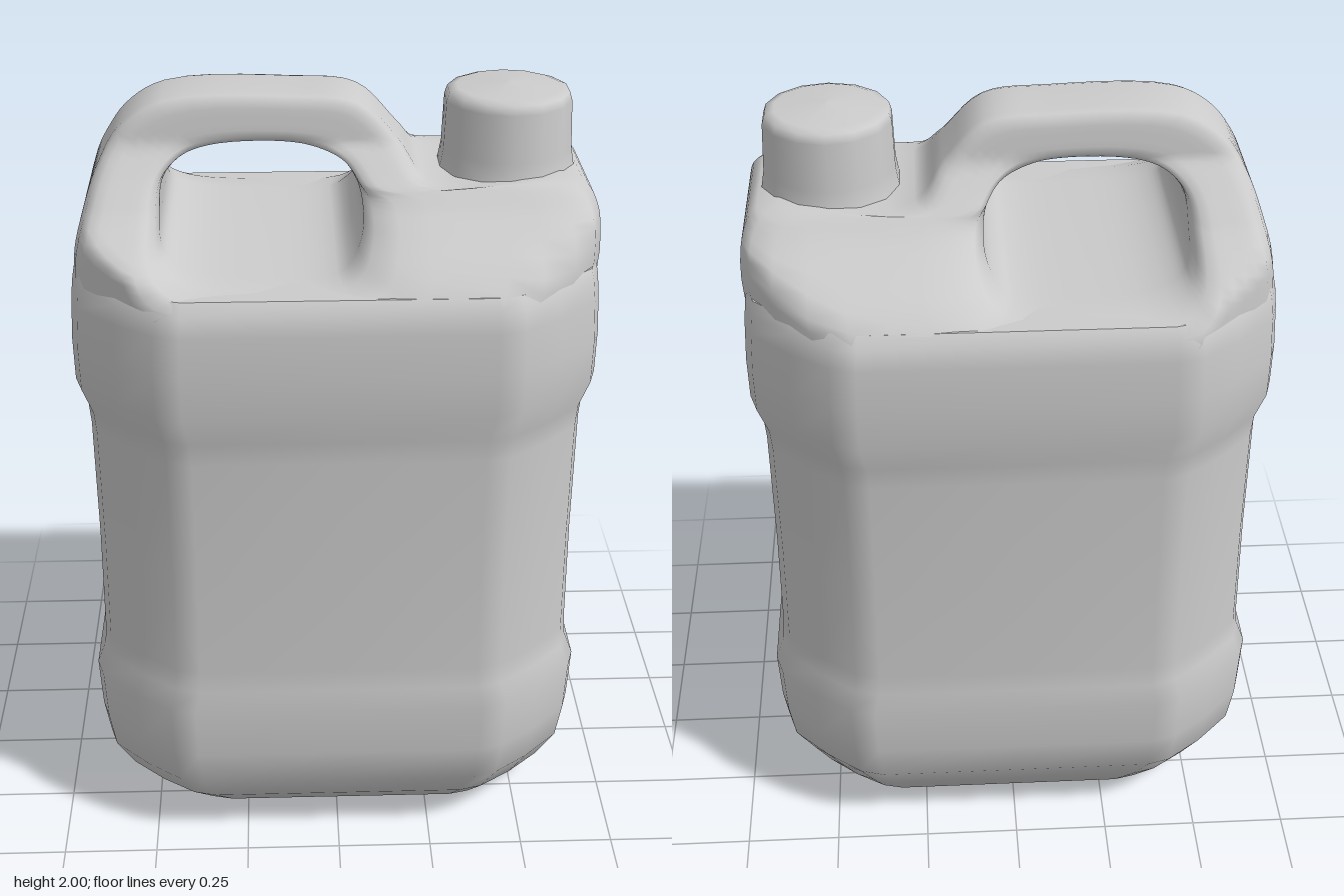
import * as THREE from 'three';

const material = new THREE.MeshStandardMaterial({ color: 0xcccccc });

// Smooth skin over rows of points; every row is a closed loop
function skin(name, rows, closeRows) {
  const n = rows[0].length, m = rows.length, index = [];
  for (let r = 0; r < (closeRows ? m : m - 1); r++) {
    for (let c = 0; c < n; c++) {
      const a = r * n + c, b = r * n + (c + 1) % n;
      const up = ((r + 1) % m) * n;
      const d = up + c, e = up + (c + 1) % n;
      index.push(a, d, b, b, d, e);
    }
  }
  const geometry = new THREE.BufferGeometry();
  geometry.setAttribute('position', new THREE.Float32BufferAttribute(rows.flat(2), 3));
  geometry.setIndex(index);
  geometry.computeVertexNormals();
  const mesh = new THREE.Mesh(geometry, material);
  mesh.name = name;
  return mesh;
}

// Piecewise linear lookup in [key, value] pairs
function lookup(table, k) {
  for (let i = 1; i < table.length; i++) {
    const [k0, v0] = table[i - 1], [k1, v1] = table[i];
    if (k <= k1) return THREE.MathUtils.lerp(v0, v1, Math.max(0, (k - k0) / (k1 - k0)));
  }
  return table[table.length - 1][1];
}

// Body: stacked chamfered-rectangle outlines with two raised bands
function makeBody() {
  const q = [[1, 0], [1, 0.47], [0.97, 0.61], [0.825, 0.81], [0.68, 0.96], [0.58, 1]];
  const outline = [
    ...q, [0, 1],
    ...q.slice(1).reverse().map(([x, z]) => [-x, z]),
    ...q.map(([x, z]) => [-x, -z]), [0, -1],
    ...q.slice(1).reverse().map(([x, z]) => [x, -z]),
  ];
  // height, half width, half depth
  const levels = [
    [0.02, 0, 0], [0.018, 0.4, 0.22], [0, 0.47, 0.27], [0.015, 0.53, 0.32],
    [0.1, 0.585, 0.395], [0.2, 0.632, 0.462], [0.3, 0.648, 0.474], [0.44, 0.655, 0.478],
    [0.5, 0.632, 0.466], [0.56, 0.628, 0.463], [0.85, 0.625, 0.461], [1.18, 0.627, 0.464],
    [1.24, 0.632, 0.468], [1.31, 0.658, 0.482], [1.42, 0.66, 0.484], [1.53, 0.655, 0.48],
    [1.58, 0.65, 0.47], [1.61, 0.645, 0.446], [1.61, 0.645, 0.446], [1.61, 0, 0],
  ];
  return skin('body', levels.map(([y, w, d]) => {
    const shift = y < 0.1 ? 0.012 : 0;
    return outline.map(([x, z]) => [x * w + shift, y, z * d - shift]);
  }), false);
}

// Shoulder and handle: a ring between the grip opening and the front outline,
// its depth narrowing towards the top
function makeShoulder() {
  // opening x, y, outline x, y
  const pairs = [
    [-0.43, 1.75, -0.615, 1.75], [-0.42, 1.67, -0.645, 1.62], [-0.36, 1.635, -0.63, 1.5],
    [-0.2, 1.615, -0.2, 1.5], [0, 1.62, 0.3, 1.5], [0.04, 1.65, 0.62, 1.5],
    [0.065, 1.7, 0.652, 1.71], [0.065, 1.76, 0.61, 1.795], [0.052, 1.8, 0.23, 1.8],
    [0.02, 1.84, 0.16, 1.88], [-0.03, 1.862, 0.06, 1.98], [-0.12, 1.88, -0.1, 1.998],
    [-0.28, 1.877, -0.42, 1.99], [-0.37, 1.855, -0.52, 1.93], [-0.42, 1.81, -0.58, 1.84],
  ];
  const depths = [
    [1.5, 0.47], [1.58, 0.465], [1.61, 0.447], [1.65, 0.405], [1.7, 0.325],
    [1.75, 0.25], [1.82, 0.175], [1.88, 0.115], [2, 0.1],
  ];
  const depthAt = (x, y) => Math.min(lookup(depths, y), 0.47 - (Math.abs(x) - 0.42) * 0.85);
  const loop = (i) => new THREE.CatmullRomCurve3(
    pairs.map((p) => new THREE.Vector3(p[i], p[i + 1], 0)), true, 'centripetal');
  const inner = loop(0), outer = loop(2), count = 75;

  // across the ring: position from opening to outline, share of full depth
  const half = [[0, 0.7], [0.04, 0.88], [0.14, 0.98], [0.28, 1], [0.42, 1], [0.57, 1],
    [0.72, 1], [0.86, 0.98], [0.96, 0.88], [1, 0.7]];
  const section = [[0, 0], ...half, [1, 0], ...half.map(([s, k]) => [s, -k]).reverse()];
  const rows = section.map(([s, k]) => Array.from({ length: count }, (_, i) => {
    const p = inner.getPoint(i / count).lerp(outer.getPoint(i / count), s);
    return [p.x, p.y, k * depthAt(p.x, p.y)];
  }));
  return skin('shoulderAndHandle', rows, true);
}

// Spout with its closed, slightly domed cap
function makeSpout() {
  const profile = [[0.185, 1.74], [0.172, 1.8], [0.165, 1.84], [0.16, 1.96], [0.153, 1.982],
    [0.13, 1.99], [0, 2]].map(([r, y]) => new THREE.Vector2(r, y));
  const spout = new THREE.Mesh(new THREE.LatheGeometry(profile, 14), material);
  spout.name = 'spout';
  spout.position.x = 0.435;
  return spout;
}

export function createModel() {
  const group = new THREE.Group();
  group.name = 'jerryCan';
  group.add(makeBody(), makeShoulder(), makeSpout());
  return group;
}
